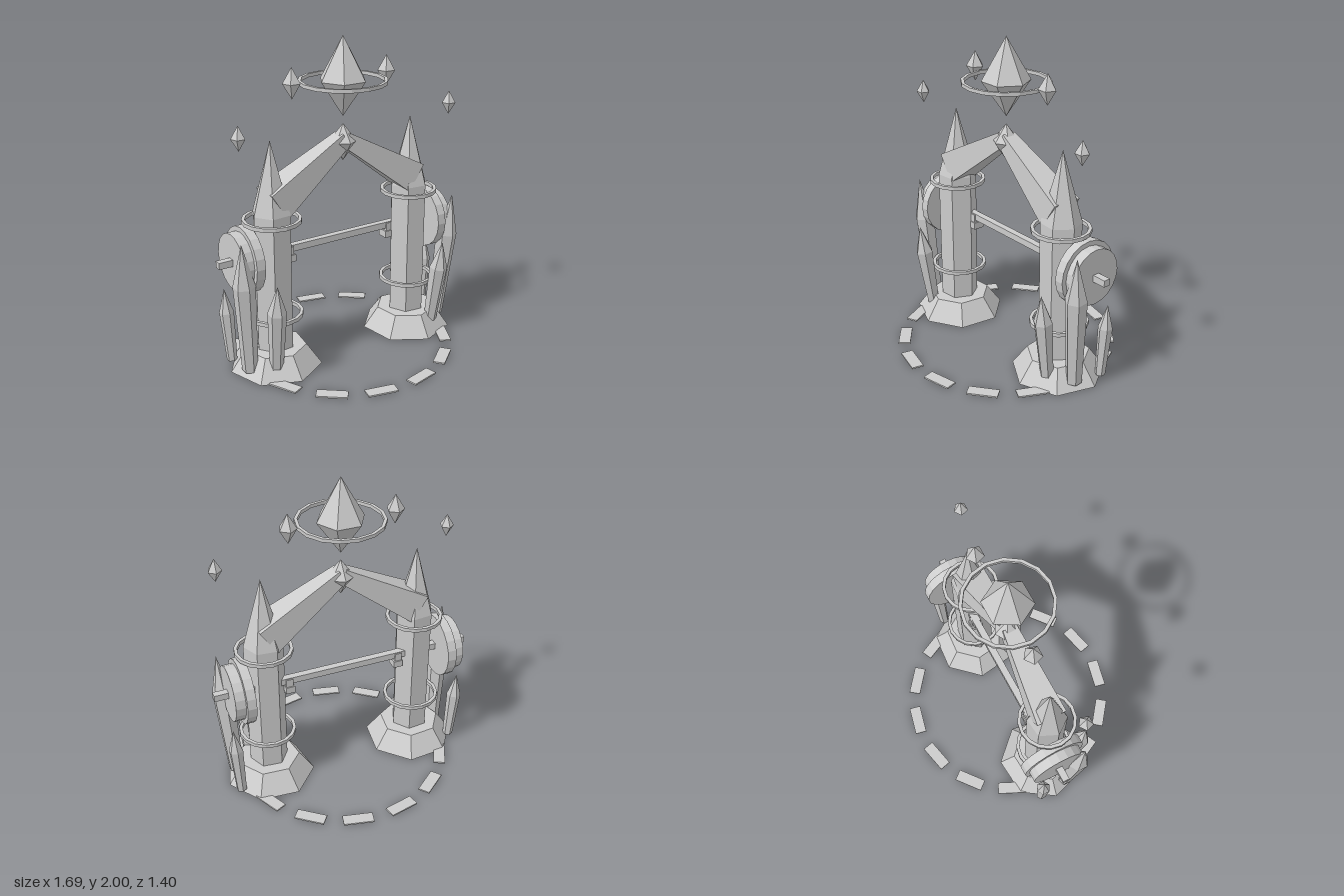
import * as THREE from 'three';

export function createModel() {
  const root = new THREE.Group();
  const stone = new THREE.MeshStandardMaterial({ color: 0xcccccc });
  stone.name = 'paleStone';

  // Adds a faceted mesh to the model
  function add(name, geometry, x = 0, y = 0, z = 0, parent = root) {
    const geo = geometry.index ? geometry.toNonIndexed() : geometry;
    geo.computeVertexNormals();
    const mesh = new THREE.Mesh(geo, stone);
    mesh.name = name;
    mesh.position.set(x, y, z);
    parent.add(mesh);
    return mesh;
  }
  // Faceted solid of revolution from [radius, height] pairs, bottom to top
  const turned = (pairs, sides, turn = 0) =>
    new THREE.LatheGeometry(pairs.map(([r, y]) => new THREE.Vector2(r, y)), sides).rotateY(turn);
  // Flat band with a rectangular section
  const band = (outer, inner, h, sides) =>
    turned([[inner, -h / 2], [outer, -h / 2], [outer, h / 2], [inner, h / 2], [inner, -h / 2]], sides);
  const box = (w, h, d) => new THREE.BoxGeometry(w, h, d);

  // Points a mesh's +y axis from one place to another
  const UP = new THREE.Vector3(0, 1, 0);
  function aim(mesh, from, to) {
    mesh.quaternion.setFromUnitVectors(UP, to.clone().sub(from).normalize());
  }

  // Ring of ground tiles
  for (let i = 0; i < 14; i++) {
    const a = ((i + 0.5) / 14) * Math.PI * 2;
    const tile = add('groundTile', box(0.19, 0.01, 0.075), Math.sin(a) * 0.66, 0.006, Math.cos(a) * 0.66);
    tile.rotation.y = a;
  }

  // Outer shards: base point, tip point, widest radius
  const shards = [
    [[0.71, 0.045, 0.06], [0.77, 0.9, 0.12], 0.068],
    [[0.585, 0.075, 0.165], [0.607, 0.64, 0.24], 0.058],
    [[0.735, 0.03, -0.135], [0.765, 0.515, -0.145], 0.045],
  ];

  for (const s of [-1, 1]) {
    const side = new THREE.Group();
    side.name = s > 0 ? 'leftPillar' : 'rightPillar';
    root.add(side);
    const x = 0.502 * s;

    // Footing, shaft with pointed top, and the two bands
    add('footing', turned([[0, 0], [0.29, 0], [0.195, 0.132], [0, 0.132]], 7, -s * 0.08), x, 0, 0, side);
    add('shaft', turned([[0, 0.1], [0.121, 0.1], [0.124, 1.0], [0, 1.445]], 6, -s * (Math.PI / 6 + 0.1)), x, 0, 0, side);
    for (const y of [0.348, 0.957]) add('pillarBand', band(0.181, 0.16, 0.024, 16), x, y, 0, side);

    // Arch beam, tapering to the middle
    const from = new THREE.Vector3(0.495 * s, 1.056, 0);
    const to = new THREE.Vector3(0, 1.375, 0);
    const length = from.distanceTo(to);
    const beamShape = new THREE.CylinderGeometry(0.045 * Math.SQRT2, 0.097 * Math.SQRT2, length, 4)
      .rotateY(Math.PI / 4);
    const mid = from.clone().lerp(to, 0.5);
    aim(add('archBeam', beamShape, mid.x, mid.y, mid.z, side), from, to);

    // Stepped wheel on the outside
    const wheel = (r, w) => new THREE.CylinderGeometry(r, r, w, 20).rotateZ(Math.PI / 2);
    add('wheelInner', wheel(0.205, 0.058), 0.663 * s, 0.728, -0.045, side);
    add('wheelOuter', wheel(0.175, 0.064), 0.723 * s, 0.728, -0.045, side);

    // Hook that carries the crossbar
    add('hookSeat', box(0.06, 0.045, 0.075), 0.365 * s, 0.668, -0.045, side);
    add('hookPost', box(0.045, 0.055, 0.06), 0.368 * s, 0.715, -0.045, side);

    // Leaning shards
    for (const [a, b, r] of shards) {
      const start = new THREE.Vector3(a[0] * s, a[1], a[2]);
      const tip = new THREE.Vector3(b[0] * s, b[1], b[2]);
      const len = start.distanceTo(tip);
      const shape = turned([[0, 0], [r * 0.72, 0], [r, len * 0.68], [0, len]], 6);
      aim(add('shard', shape, start.x, start.y, start.z, side), start, tip);
    }

    // Small floating crystals
    const gem = (r, h) => turned([[0, -h], [r, 0], [0, h]], 5, Math.PI);
    add('innerFloatingCrystal', gem(0.056, 0.095), 0.333 * s, 1.75, -0.028, side);
    add('outerFloatingCrystal', gem(0.044, 0.075), 0.742 * s, 1.513, 0.082, side);
  }

  // Crossbar running through both wheels
  add('crossbar', box(1.69, 0.042, 0.044), 0, 0.727, -0.045);

  // Keystone, main crystal and its halo
  add('keystone', turned([[0, 1.237], [0.085, 1.36], [0, 1.47]], 6));
  add('mainCrystal', turned([[0, 1.515], [0.15, 1.735], [0, 2]], 6, Math.PI / 6));
  add('halo', band(0.27, 0.25, 0.022, 16), 0, 1.728, 0);

  return root;
}
